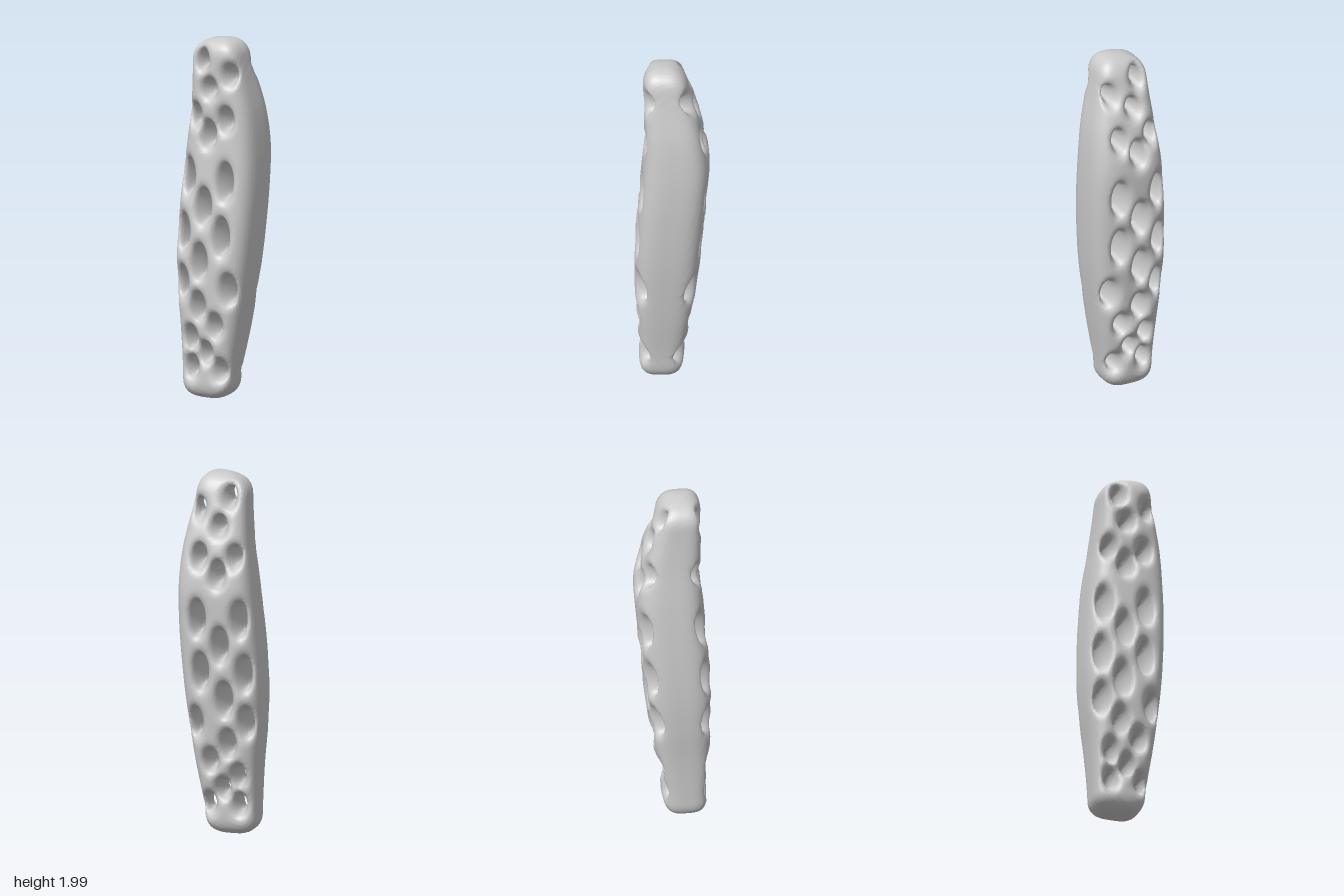
import * as THREE from 'three';

// Body profile by height: y, then left, right, back and front limits
const STATIONS = [
  [0.00, -0.195, 0.09, -0.06, 0.175], [0.20, -0.20, 0.115, -0.078, 0.182],
  [0.40, -0.21, 0.15, -0.112, 0.197], [0.60, -0.228, 0.18, -0.137, 0.206],
  [0.80, -0.235, 0.205, -0.16, 0.208], [1.00, -0.228, 0.222, -0.177, 0.199],
  [1.20, -0.212, 0.232, -0.192, 0.184], [1.40, -0.19, 0.23, -0.2, 0.17],
  [1.60, -0.165, 0.21, -0.166, 0.162], [1.80, -0.15, 0.165, -0.113, 0.162],
  [2.00, -0.145, 0.125, -0.06, 0.165],
];

// Openings from front to back: centre x, centre y, half height at the waist
const HOLES = [
  [-0.063, 1.88, 0.045], [0.108, 1.81, 0.042], [-0.015, 1.725, 0.036],
  [-0.108, 1.565, 0.045], [0.09, 1.56, 0.046], [-0.016, 1.47, 0.052],
  [-0.14, 1.225, 0.08], [0.096, 1.22, 0.08], [-0.032, 1.075, 0.075],
  [-0.163, 0.92, 0.08], [0.082, 0.92, 0.08], [-0.052, 0.77, 0.075],
  [-0.168, 0.645, 0.068], [0.12, 0.63, 0.065], [-0.064, 0.52, 0.056],
  [0.039, 0.42, 0.045], [-0.115, 0.34, 0.047], [-0.026, 0.265, 0.04],
  [-0.115, 0.18, 0.045], [0.058, 0.175, 0.042],
];

// The whole section is turned slightly about the vertical
const TURN = 0.13;
const COS = Math.cos(TURN), SIN = Math.sin(TURN);
const POWER = 3.5;

const profile = new THREE.CubicInterpolant(
  STATIONS.map((s) => s[0]), STATIONS.flatMap((s) => s.slice(1)), 4);

// Intersection of two solids with a rounded edge
function smoothMax(a, b, k) {
  const h = Math.max(k - Math.abs(a - b), 0) / k;
  return Math.max(a, b) + h * h * k / 4;
}

// Solid rule: negative inside, positive outside
function solid(x, y, z) {
  const [left, right, back, front] = profile.evaluate(THREE.MathUtils.clamp(y, 0, 2));
  const a = (right - left) / 2.05, b = (front - back) / 2.05;
  const cx = (left + right) / 2, cz = (back + front) / 2;
  const u = (x - cx) * COS + (z - cz) * SIN;
  const w = (z - cz) * COS - (x - cx) * SIN;

  // rounded box section, cut by a flat foot and a slightly sloped top
  const reach = Math.abs(u / a) ** POWER + Math.abs(w / b) ** POWER;
  let d = (reach ** (1 / POWER) - 1) * Math.min(a, b);
  d = smoothMax(d, -y, 0.1);
  d = smoothMax(d, y - 1.993 - 0.14 * x, 0.11);

  // openings that flare toward the front and back faces
  const flare = Math.min(Math.abs(w / b), 1.05) ** 2.2;
  for (const [hx, hy, half] of HOLES) {
    if (Math.abs(y - hy) > 0.22) continue;
    const rx = 0.019 + 0.04 * flare, ry = half + 0.038 * flare;
    const dx = (x - hx) * COS + (z - cz) * SIN;
    d = smoothMax(d, (1 - Math.hypot(dx / rx, (y - hy) / ry)) * rx, 0.028);
  }
  return d;
}

// Smooth skin of a solid rule: one vertex per crossed grid cell, joined by quads
function skin(rule, min, size, step) {
  const n = size.map((s) => Math.ceil(s / step) + 1);
  const stride = [1, n[0], n[0] * n[1]];
  const at = (i, j, k) => i + j * stride[1] + k * stride[2];
  const field = new Float32Array(n[0] * n[1] * n[2]);
  const cellVertex = new Int32Array(field.length).fill(-1);
  const positions = [], index = [];

  for (let k = 0; k < n[2]; k++)
    for (let j = 0; j < n[1]; j++)
      for (let i = 0; i < n[0]; i++)
        field[at(i, j, k)] = rule(min[0] + i * step, min[1] + j * step, min[2] + k * step);

  // vertices at the mean of each cell's edge crossings
  for (let k = 0; k < n[2] - 1; k++)
    for (let j = 0; j < n[1] - 1; j++)
      for (let i = 0; i < n[0] - 1; i++) {
        const sum = [0, 0, 0];
        let count = 0;
        for (let corner = 0; corner < 8; corner++) {
          const o = [corner & 1, (corner >> 1) & 1, corner >> 2];
          const p = at(i + o[0], j + o[1], k + o[2]);
          for (let axis = 0; axis < 3; axis++) {
            if (o[axis]) continue;
            const f0 = field[p], f1 = field[p + stride[axis]];
            if ((f0 < 0) === (f1 < 0)) continue;
            for (let c = 0; c < 3; c++) sum[c] += o[c];
            sum[axis] += f0 / (f0 - f1);
            count++;
          }
        }
        if (!count) continue;
        cellVertex[at(i, j, k)] = positions.length / 3;
        [i, j, k].forEach((g, c) => positions.push(min[c] + (g + sum[c] / count) * step));
      }

  // one quad around each crossed grid edge, facing outward
  for (let k = 1; k < n[2] - 1; k++)
    for (let j = 1; j < n[1] - 1; j++)
      for (let i = 1; i < n[0] - 1; i++)
        for (let axis = 0; axis < 3; axis++) {
          const p = at(i, j, k);
          const inside = field[p] < 0;
          if (inside === (field[p + stride[axis]] < 0)) continue;
          const sb = stride[(axis + 1) % 3], sc = stride[(axis + 2) % 3];
          const q = [p, p - sb, p - sb - sc, p - sc].map((c) => cellVertex[c]);
          if (!inside) q.reverse();
          index.push(q[0], q[1], q[2], q[0], q[2], q[3]);
        }

  const geometry = new THREE.BufferGeometry();
  geometry.setAttribute('position', new THREE.Float32BufferAttribute(positions, 3));
  geometry.setIndex(index);
  geometry.computeVertexNormals();
  return geometry;
}

export function createModel() {
  const group = new THREE.Group();
  group.name = 'perforatedColumn';
  const body = new THREE.Mesh(
    skin(solid, [-0.28, -0.03, -0.27], [0.56, 2.07, 0.54], 0.0115),
    new THREE.MeshStandardMaterial({ color: 0xcccccc }));
  body.name = 'columnBody';
  group.add(body);
  return group;
}
